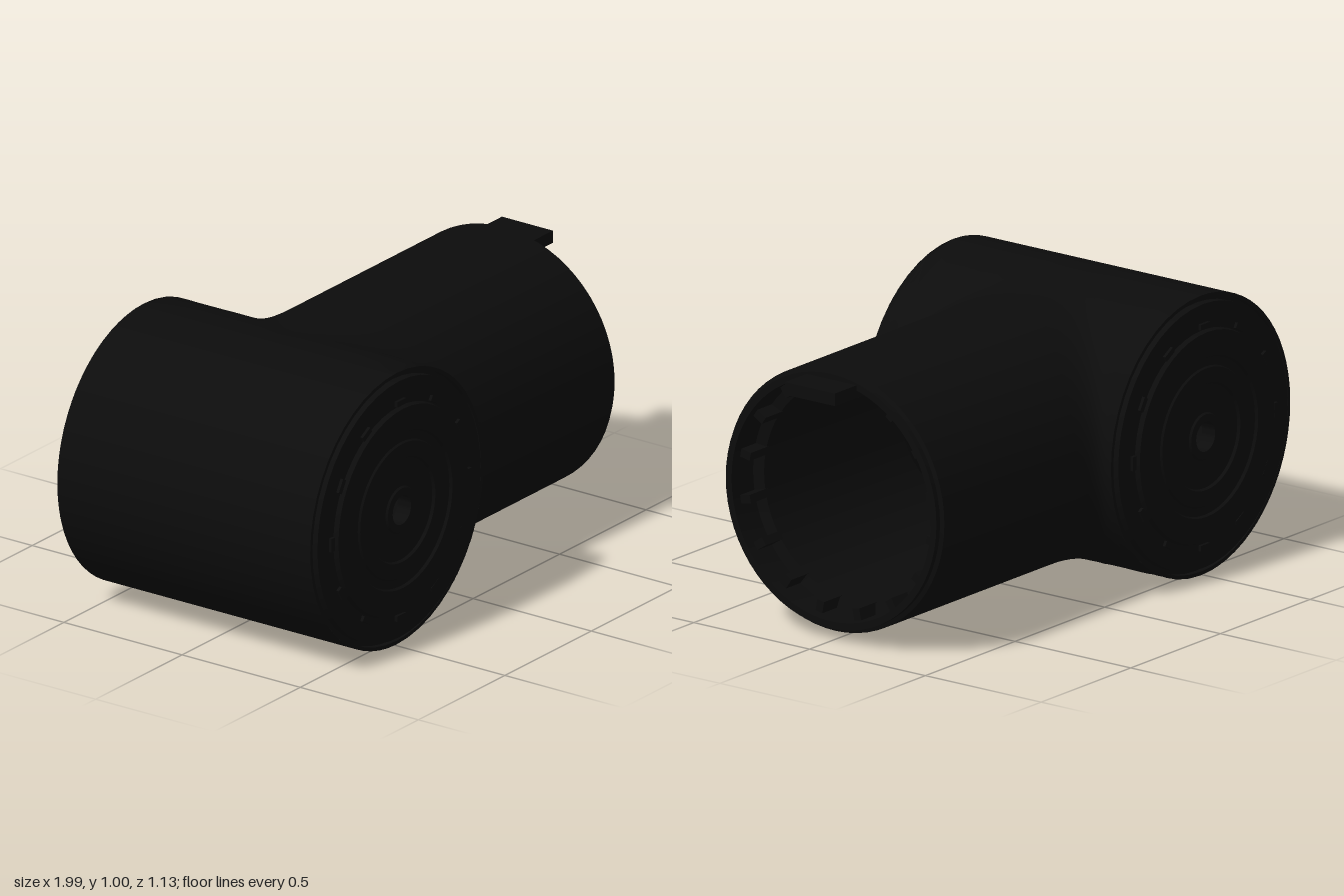
import * as THREE from 'three';
import { toCreasedNormals } from 'three/addons/utils/BufferGeometryUtils.js';

const CX = -0.49, CY = 0.51;      // axis of the wide barrel, which runs along z
const R = 0.5, HALF = 0.535;      // barrel radius and half length
const SEG = 64;

// Joins rings of points into one skin; each ring wraps around the branch axis.
function skin(rings) {
  const pos = [], index = [];
  rings.forEach(ring => ring.forEach(p => pos.push(p.x, p.y, p.z)));
  for (let i = 0; i < rings.length - 1; i++) {
    for (let j = 0; j < SEG; j++) {
      const k = (j + 1) % SEG, a = i * SEG, b = a + SEG;
      index.push(a + j, b + j, a + k, b + j, b + k, a + k);
    }
  }
  const g = new THREE.BufferGeometry();
  g.setAttribute('position', new THREE.Float32BufferAttribute(pos, 3));
  g.setIndex(index);
  return toCreasedNormals(g, 0.6);
}

const ring = fn => Array.from({ length: SEG }, (_, j) => {
  const t = j / SEG * Math.PI * 2;
  return fn(Math.cos(t), Math.sin(t));
});

const onBarrel = (angle, z) =>
  new THREE.Vector3(CX + R * Math.cos(angle), CY + R * Math.sin(angle), z);
const onBranch = (x, r, c, s) => new THREE.Vector3(x, CY + r * s, r * c);
const meetX = (r, s) => CX + Math.sqrt(R * R - (r * s) ** 2);

export function createModel() {
  const group = new THREE.Group();
  const black = new THREE.MeshStandardMaterial({ color: 0x0c0c0c, side: THREE.DoubleSide });
  black.name = 'black plastic';

  const add = (name, geometry, parent = group) => {
    const mesh = new THREE.Mesh(geometry, black);
    mesh.name = name;
    parent.add(mesh);
    return mesh;
  };

  // Back half of the barrel wall
  const back = add('barrelBack',
    new THREE.CylinderGeometry(R, R, HALF * 2, 32, 1, true, Math.PI, Math.PI));
  back.rotation.x = Math.PI / 2;
  back.position.set(CX, CY, 0);

  // Front half of the barrel, blended into the hollow branch
  const rings = [];
  for (let i = 0; i <= 4; i++) {
    const t = i / 4;
    rings.push(ring((c, s) => {
      const k = 1 / Math.max(Math.abs(c), Math.abs(s));
      const angle = THREE.MathUtils.lerp(s * k * Math.PI / 2, Math.asin(0.994 * s), t);
      return onBarrel(angle, THREE.MathUtils.lerp(c * k * HALF, 0.53 * c, t));
    }));
  }
  for (let i = 1; i <= 6; i++) {
    rings.push(ring((c, s) => {
      const x = meetX(0.47, s);
      return new THREE.QuadraticBezierCurve3(
        onBarrel(Math.asin(0.994 * s), 0.53 * c),
        onBranch(x, 0.47, c, s),
        onBranch(x + 0.09 + 0.08 * Math.abs(s), 0.47, c, s)
      ).getPoint(i / 6);
    }));
  }
  // Rim and stepped bore: [x, radius]
  [[0.855, 0.47], [0.86, 0.455], [0.88, 0.455], [0.88, 0.43], [0.76, 0.43], [0.75, 0.39]]
    .forEach(([x, r]) => rings.push(ring((c, s) => onBranch(x, r, c, s))));
  rings.push(ring((c, s) => onBranch(meetX(0.39, s) - 0.03, 0.39, c, s)));
  add('barrelFrontAndBranch', skin(rings));

  // Stepped end caps with concentric grooves and a through hole
  const profile = [
    [0.5, 0.535], [0.487, 0.535], [0.487, 0.515], [0.472, 0.515], [0.472, 0.545],
    [0.38, 0.545], [0.375, 0.563], [0.285, 0.563], [0.28, 0.553], [0.25, 0.553],
    [0.245, 0.56], [0.19, 0.56], [0.185, 0.55], [0.085, 0.55], [0.08, 0.557],
    [0.053, 0.557], [0.053, 0.5]
  ].map(([r, y]) => new THREE.Vector2(r, y));
  const capGeometry = toCreasedNormals(new THREE.LatheGeometry(profile, 48), 0.5);
  for (const side of [1, -1]) {
    const cap = new THREE.Group();
    cap.name = side > 0 ? 'frontCap' : 'backCap';
    cap.position.set(CX, CY, 0);
    cap.rotation.x = side * Math.PI / 2;
    group.add(cap);
    add('capDisc', capGeometry, cap);
    // Small clips around the raised disc
    for (let i = 0; i < 12; i++) {
      const a = i / 12 * Math.PI * 2;
      const clip = add('capClip', new THREE.BoxGeometry(0.02, 0.012, 0.05), cap);
      clip.position.set(0.395 * Math.cos(a), 0.55, 0.395 * Math.sin(a));
      clip.rotation.y = -a;
    }
  }

  // Ribs along the inside of the branch mouth
  for (let i = 0; i < 16; i++) {
    const a = (i + 0.5) / 16 * Math.PI * 2;
    const rib = add('boreRib', new THREE.BoxGeometry(0.1, 0.045, 0.03));
    rib.position.set(0.79, CY + 0.41 * Math.sin(a), 0.41 * Math.cos(a));
    rib.rotation.x = -a + Math.PI / 2;
  }

  // Ribbed strip on the inner back wall
  for (let i = -5; i <= 5; i++) {
    const a = i * 0.15;
    const rung = add('innerRung', new THREE.BoxGeometry(0.04, 0.03, 0.17));
    rung.position.set(CX - 0.475 * Math.cos(a), CY + 0.475 * Math.sin(a), 0);
    rung.rotation.z = -a;
  }

  // Locking tab at the top of the branch mouth
  const tab = add('lockingTab', new THREE.BoxGeometry(0.24, 0.045, 0.215));
  tab.position.set(0.88, 0.922, -0.002);

  return group;
}
